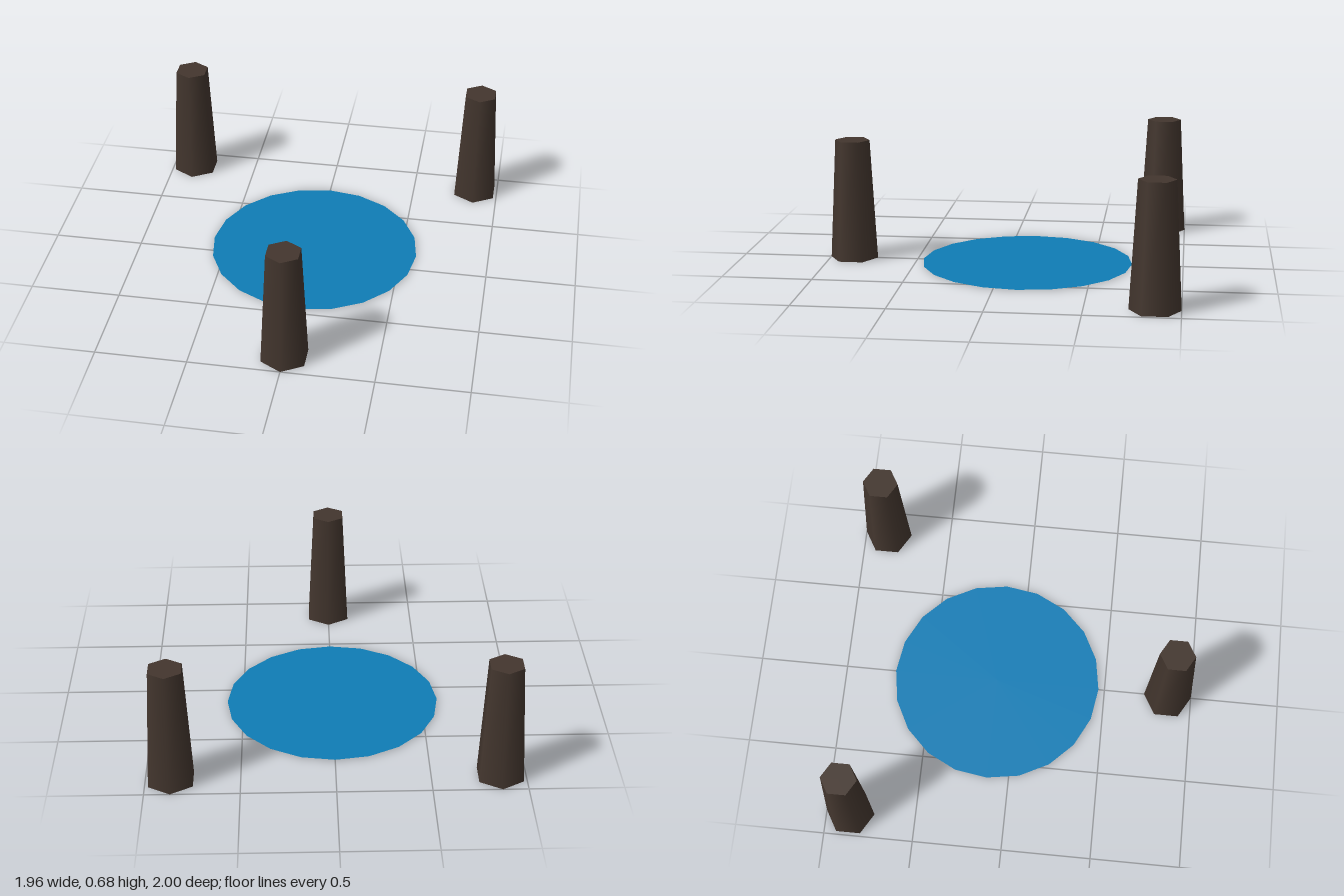
import * as THREE from 'three';

export function createModel() {
  const model = new THREE.Group();
  model.name = 'poolWithPosts';

  const darkWood = new THREE.MeshStandardMaterial({ color: 0x43362e });
  darkWood.name = 'dark wood';
  const waterBlue = new THREE.MeshStandardMaterial({ color: 0x0f7db6, side: THREE.DoubleSide });
  waterBlue.name = 'water blue';

  // Flat round pool, set slightly towards the back
  const pool = new THREE.Mesh(new THREE.CircleGeometry(0.59, 20), waterBlue);
  pool.name = 'pool';
  pool.rotation.x = -Math.PI / 2;
  pool.position.set(0, 0.004, -0.125);
  model.add(pool);

  // Three tapered six-sided posts around the pool
  const height = 0.68;
  const postGeometry = new THREE.CylinderGeometry(0.098, 0.135, height, 6);
  const posts = [
    ['frontPost', 0, 0.865],
    ['backLeftPost', 0.865, -0.865],
    ['backRightPost', -0.865, -0.865],
  ];
  for (const [name, x, z] of posts) {
    const post = new THREE.Mesh(postGeometry, darkWood);
    post.name = name;
    post.position.set(x, height / 2, z);
    model.add(post);
  }

  return model;
}
